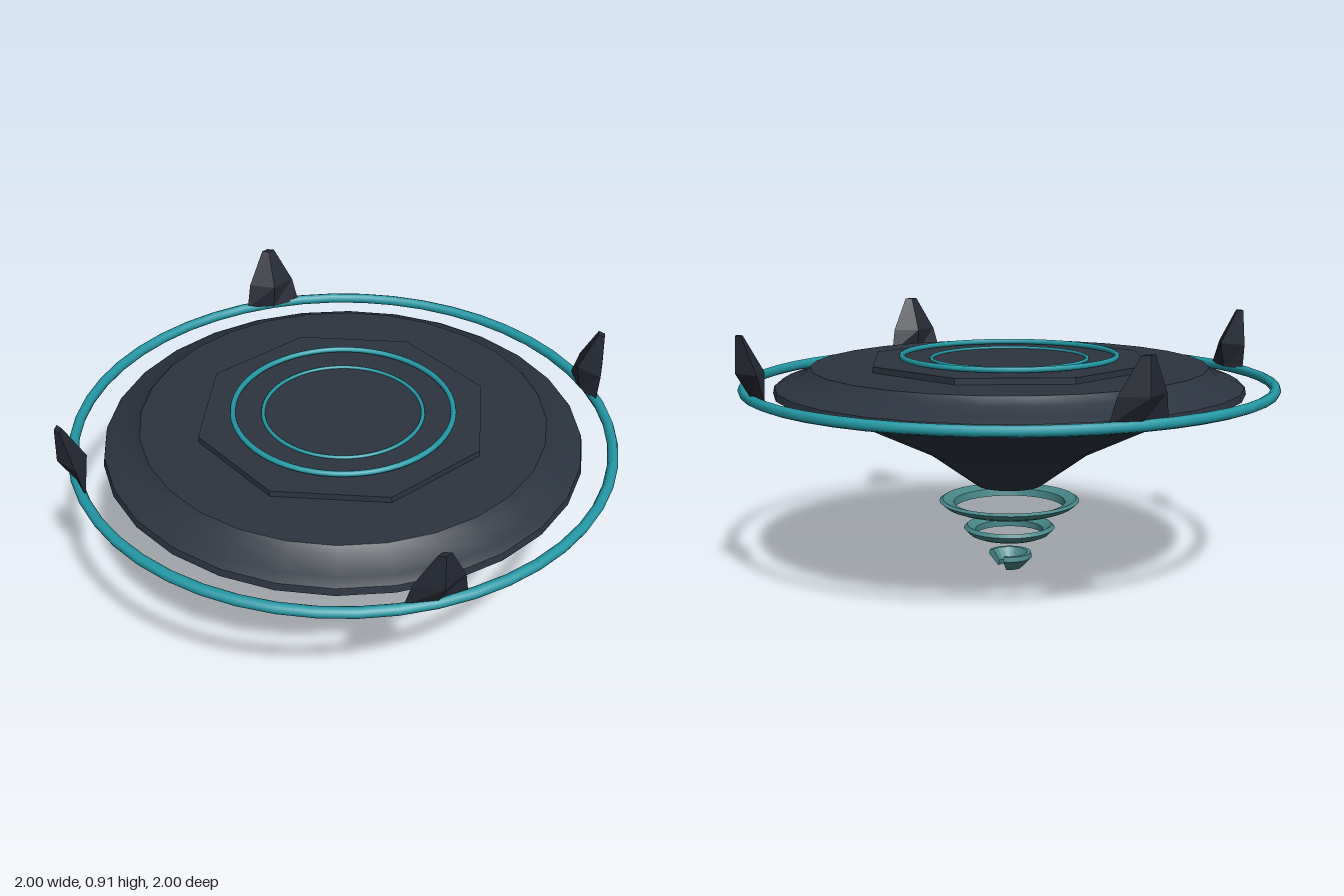
import * as THREE from 'three';
import { toCreasedNormals } from 'three/addons/utils/BufferGeometryUtils.js';

const mat = (name, color, side = THREE.FrontSide) => {
  const m = new THREE.MeshStandardMaterial({ color, side });
  m.name = name;
  return m;
};

export function createModel() {
  const hullMat = mat('slate hull', 0x2c343f);
  const finMat = mat('dark fin', 0x252933);
  const glowMat = mat('bright teal', 0x2399a6);
  const beamMat = mat('pale teal', 0x478688, THREE.DoubleSide);

  const model = new THREE.Group();
  model.name = 'hoveringDisc';
  const add = (name, geometry, material, parent = model) => {
    const mesh = new THREE.Mesh(geometry, material);
    mesh.name = name;
    parent.add(mesh);
    return mesh;
  };
  const vecs = (pts) => pts.map(([r, y]) => new THREE.Vector2(r, y));

  // Disc hull: funnel-shaped underside, bevelled shoulder, flat deck
  const SIDES = 28;
  const hull = new THREE.LatheGeometry(vecs([
    [0, 0.315], [0.12, 0.315], [0.3, 0.445], [0.6, 0.588], [0.845, 0.665],
    [0.84, 0.69], [0.81, 0.707], [0.74, 0.728], [0.713, 0.757], [0, 0.757],
  ]), SIDES, Math.PI / SIDES);
  add('hull', toCreasedNormals(hull, 0.6), hullMat);

  // Eight-sided deck plate
  const plate = add('deckPlate', toCreasedNormals(
    new THREE.CylinderGeometry(0.52, 0.52, 0.025, 8), 0.3), hullMat);
  plate.position.y = 0.766;

  // Glowing hoops: outer rim and two deck rings
  const hoop = (name, radius, tube, y, segments) => {
    const ring = add(name, new THREE.TorusGeometry(radius, tube, 8, segments), glowMat);
    ring.rotation.x = Math.PI / 2;
    ring.position.y = y;
  };
  hoop('outerRing', 0.947, 0.019, 0.689, 48);
  hoop('deckRingLarge', 0.386, 0.01, 0.791, 64);
  hoop('deckRingSmall', 0.28, 0.007, 0.78, 64);

  // Four leaning fins, lofted from diamond sections: [y, centre, half width, half depth]
  const sections = [
    [0.695, 0.932, 0.105, 0.016], [0.785, 0.951, 0.087, 0.05], [0.91, 0.983, 0.024, 0.013],
  ];
  const pos = [], index = [];
  for (const [y, c, w, d] of sections) {
    pos.push(w, y, c, 0, y, c - d, -w, y, c, 0, y, c + d);
  }
  for (let s = 0; s < 2; s++) {
    for (let i = 0; i < 4; i++) {
      const a = s * 4 + i, b = s * 4 + (i + 1) % 4;
      index.push(a, b, b + 4, a, b + 4, a + 4);
    }
  }
  index.push(0, 2, 1, 0, 3, 2, 8, 9, 10, 8, 10, 11);
  const loft = new THREE.BufferGeometry();
  loft.setAttribute('position', new THREE.Float32BufferAttribute(pos, 3));
  loft.setIndex(index);
  const finGeo = loft.toNonIndexed();
  finGeo.computeVertexNormals();
  ['frontFin', 'leftFin', 'backFin', 'rightFin'].forEach((name, i) => {
    add(name, finGeo, finMat).rotation.y = i * Math.PI / 2;
  });

  // Shrinking beam rings below; the lowest is open on the left side
  const beamRing = (name, profile, start = 0, length = Math.PI * 2) => {
    const group = new THREE.Group();
    group.name = name;
    model.add(group);
    const pts = vecs(profile);
    const band = new THREE.LatheGeometry([...pts, pts[0].clone()], 32, start, length);
    add('band', toCreasedNormals(band, 0.4), beamMat, group);
    if (length < 6) {
      for (const phi of [start, start + length]) {
        const cap = add('endCap', new THREE.ShapeGeometry(new THREE.Shape(pts)), beamMat, group);
        cap.rotation.y = phi - Math.PI / 2;
      }
    }
  };
  beamRing('beamRingLarge', [[0.2, 0.223], [0.232, 0.235], [0.257, 0.255], [0.245, 0.263], [0.205, 0.25]]);
  beamRing('beamRingMiddle', [[0.125, 0.122], [0.145, 0.13], [0.167, 0.152], [0.155, 0.164], [0.125, 0.145]]);
  beamRing('beamRingSmall', [[0.045, 0], [0.083, 0.04], [0.08, 0.058], [0.066, 0.058], [0.04, 0.02]],
    THREE.MathUtils.degToRad(140), THREE.MathUtils.degToRad(260));

  return model;
}
